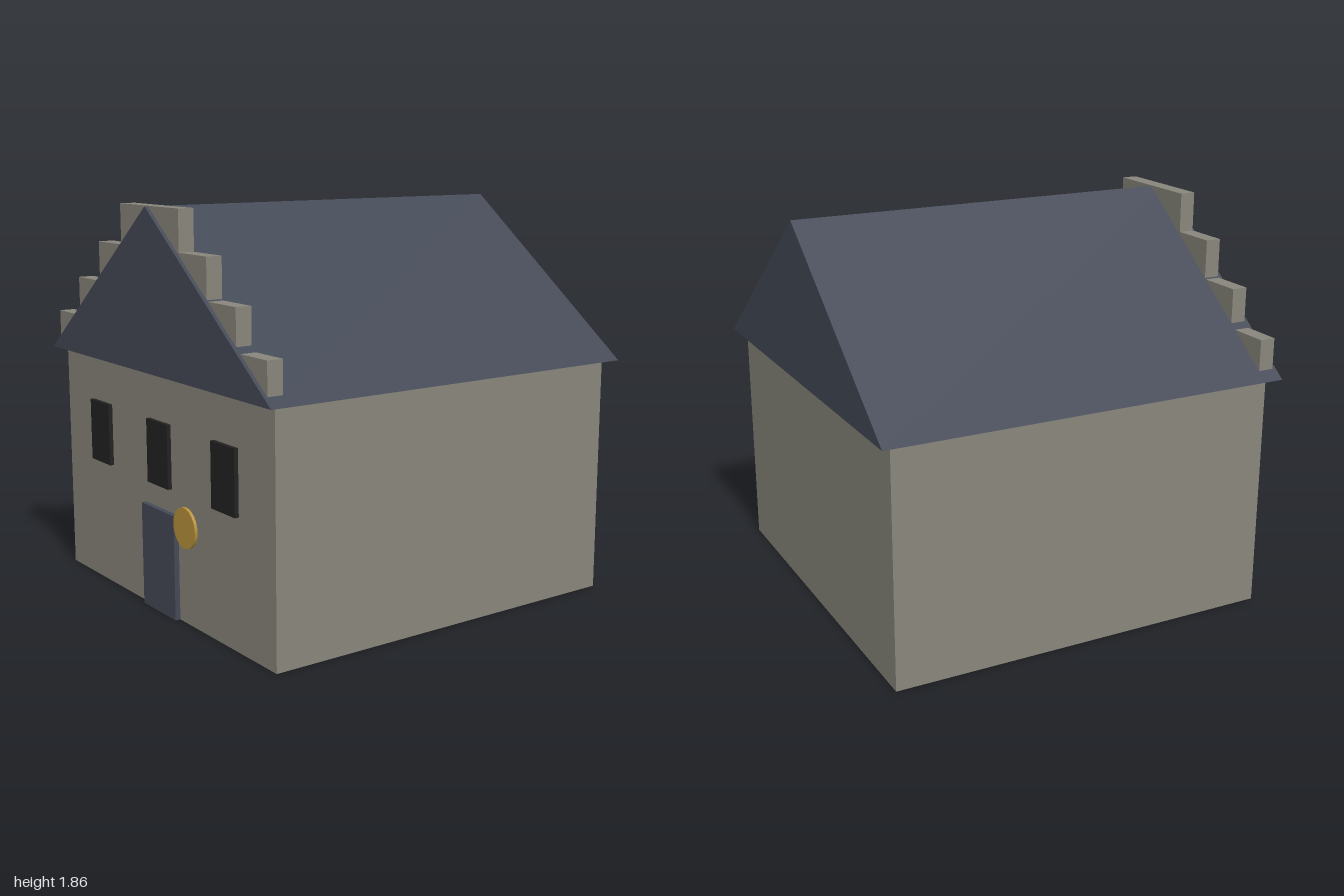
import * as THREE from 'three';

const mat = (name, color) => {
  const m = new THREE.MeshStandardMaterial({ color });
  m.name = name;
  return m;
};

export function createModel() {
  const house = new THREE.Group();
  house.name = 'house';
  const stone = mat('stone', 0x88857b);
  const slate = mat('slate', 0x444956);
  const glass = mat('darkGlass', 0x222222);
  const brass = mat('brass', 0xb8923a);

  const add = (name, geometry, material) => {
    const mesh = new THREE.Mesh(geometry, material);
    mesh.name = name;
    house.add(mesh);
    return mesh;
  };
  // Box from its lower and upper corners
  const box = (name, material, [x0, y0, z0], [x1, y1, z1]) =>
    add(name, new THREE.BoxGeometry(x1 - x0, y1 - y0, z1 - z0), material)
      .position.set((x0 + x1) / 2, (y0 + y1) / 2, (z0 + z1) / 2);

  // Walls
  box('walls', stone, [-0.93, 0, -0.945], [0.93, 1.12, 0.92]);

  // Gabled roof: a solid triangular prism
  const gable = new THREE.Shape([
    new THREE.Vector2(-0.983, 1.12),
    new THREE.Vector2(0.983, 1.12),
    new THREE.Vector2(0, 1.862),
  ]);
  add('roof', new THREE.ExtrudeGeometry(gable, { depth: 1.973, bevelEnabled: false }), slate)
    .position.z = -1;

  // Stepped gable, rising through the roof near the front
  [0.93, 0.705, 0.483, 0.26].forEach((half, i) => {
    const y = 1.12 + i * 0.186;
    box('gableStep', stone, [-half, y, 0.88], [half, y + 0.186, 0.955]);
  });

  // Door and upper windows
  box('door', slate, [-0.147, 0, 0.9], [0.147, 0.49, 0.945]);
  for (const x of [-0.56, 0, 0.56]) {
    box('window', glass, [x - 0.094, 0.6, 0.9], [x + 0.094, 0.898, 0.94]);
  }

  // Round hanging sign beside the door
  const disc = new THREE.CylinderGeometry(0.092, 0.092, 0.014, 24).rotateX(Math.PI / 2);
  add('roundSign', disc, brass).position.set(0.335, 0.49, 0.993);

  return house;
}
